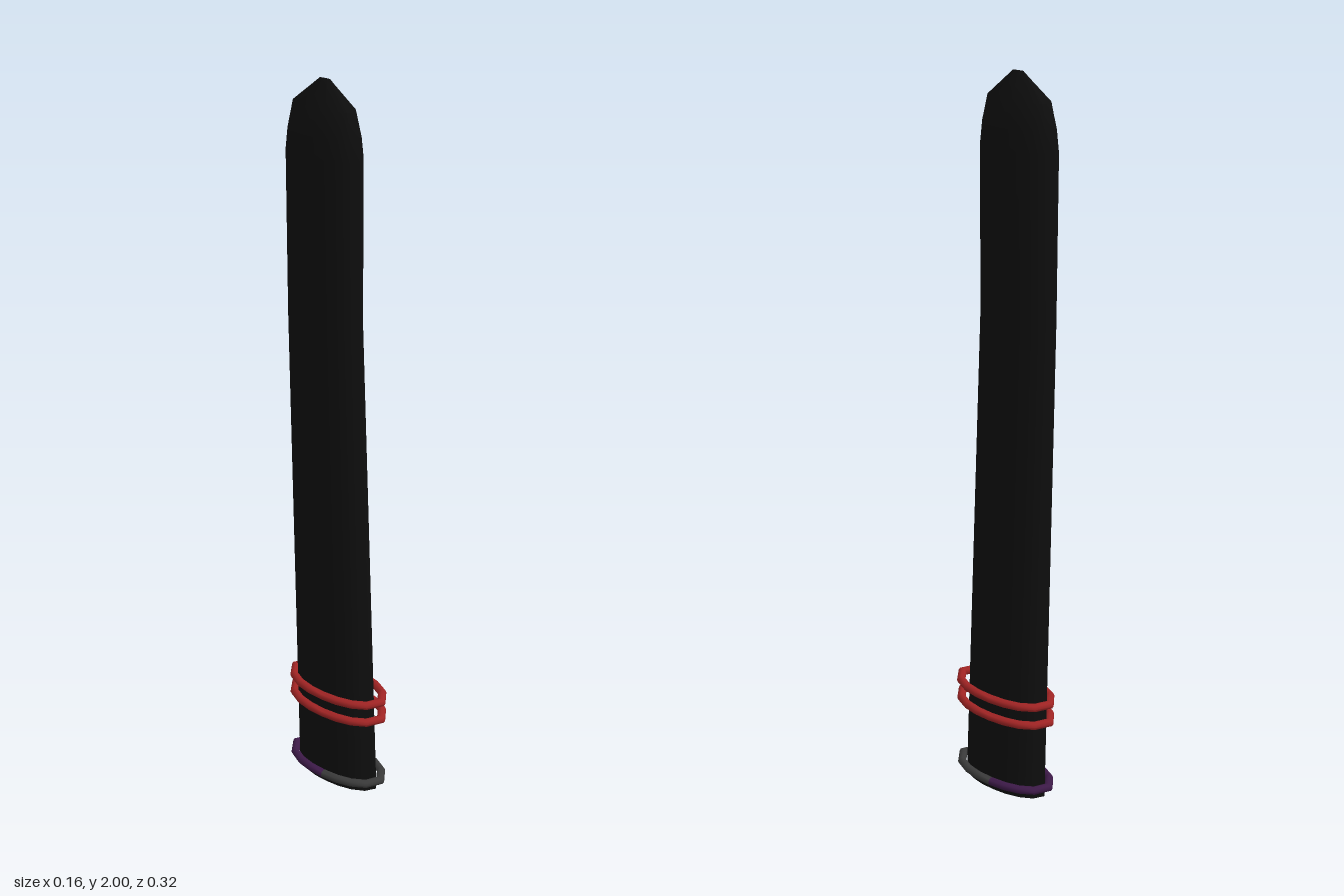
import * as THREE from 'three';
import { toCreasedNormals } from 'three/addons/utils/BufferGeometryUtils.js';

const material = (name, color) => {
  const m = new THREE.MeshStandardMaterial({ color });
  m.name = name;
  return m;
};

// One quarter of a pointed-oval outline as [x, z], mirrored into a 16-point loop
function pointedOval(quarter) {
  const [side, a, b, c, tip] = quarter;
  const front = [side, a, b, c, tip, ...[c, b, a].map(([x, z]) => [-x, z])];
  return [...front, ...front.map(([x, z]) => [-x, -z])];
}

// Skin a list of equal-length closed cross-sections
function loft(sections, crease) {
  const n = sections[0].length, index = [];
  for (let i = 0; i < sections.length - 1; i++) {
    for (let j = 0; j < n; j++) {
      const a = i * n + j, b = i * n + (j + 1) % n, c = a + n, d = b + n;
      index.push(a, c, b, b, c, d);
    }
  }
  const geometry = new THREE.BufferGeometry();
  geometry.setAttribute('position', new THREE.Float32BufferAttribute(sections.flat(2), 3));
  geometry.setIndex(index);
  return toCreasedNormals(geometry, crease);
}

// Mitred round cord following the pointed oval from point `from` to point `to`
function cord(path, y, radius, from, to) {
  const n = path.length, sections = [];
  const normal = (p, q) => new THREE.Vector2(q[1] - p[1], p[0] - q[0]).normalize();
  for (let i = from; i <= to; i++) {
    const p = path[i % n];
    const n1 = normal(path[(i + n - 1) % n], p);
    const out = n1.clone().add(normal(p, path[(i + 1) % n])).normalize();
    out.divideScalar(out.dot(n1));
    sections.push(Array.from({ length: 8 }, (_, j) => {
      const t = j * Math.PI / 4, r = radius * Math.cos(t);
      return [p[0] + out.x * r, y - radius * Math.sin(t), p[1] + out.y * r];
    }));
  }
  return loft(sections, 0.9);
}

export function createModel() {
  const model = new THREE.Group();
  model.name = 'scabbard';
  const black = material('black lacquer', 0x0f0f0f);
  const red = material('red cord', 0xa02424);
  const grey = material('dark grey', 0x3a3a3a);
  const purple = material('dark purple', 0x3d1a48);

  const add = (name, geometry, mat) => {
    const mesh = new THREE.Mesh(geometry, mat);
    mesh.name = name;
    model.add(mesh);
  };

  // Sheath: tapering pointed oval, leaning back, closed at both ends
  const lens = pointedOval([[1, 0], [0.96, 0.3], [0.8, 0.59], [0.5, 0.85], [0, 1]]);
  const levels = [ // y, half width, front z, back z
    [0, 0, 0, 0],
    [0, 0.056, 0.134, -0.134],
    [1.4, 0.051, 0.075, -0.153],
    [1.82, 0.049, 0.074, -0.154],
    [1.87, 0.046, 0.068, -0.148],
    [1.935, 0.036, 0.052, -0.132],
    [2, 0.002, -0.022, -0.052],
    [2, 0, -0.037, -0.037],
  ];
  const sections = levels.map(([y, w, front, back]) =>
    lens.map(([x, z]) => [x * w, y, (front + back) / 2 + z * (front - back) / 2]));
  add('sheath', loft(sections, 0.6), black);

  // Bands around the sheath
  const band = pointedOval([[0.07, 0], [0.067, 0.045], [0.057, 0.087], [0.037, 0.124], [0, 0.147]]);
  add('upperRedBand', cord(band, 0.305, 0.0115, 0, 16), red);
  add('lowerRedBand', cord(band, 0.248, 0.0115, 0, 16), red);
  add('mouthBandFront', cord(band, 0.036, 0.0115, 0, 8), grey);
  add('mouthBandBack', cord(band, 0.036, 0.0115, 8, 16), purple);

  return model;
}
